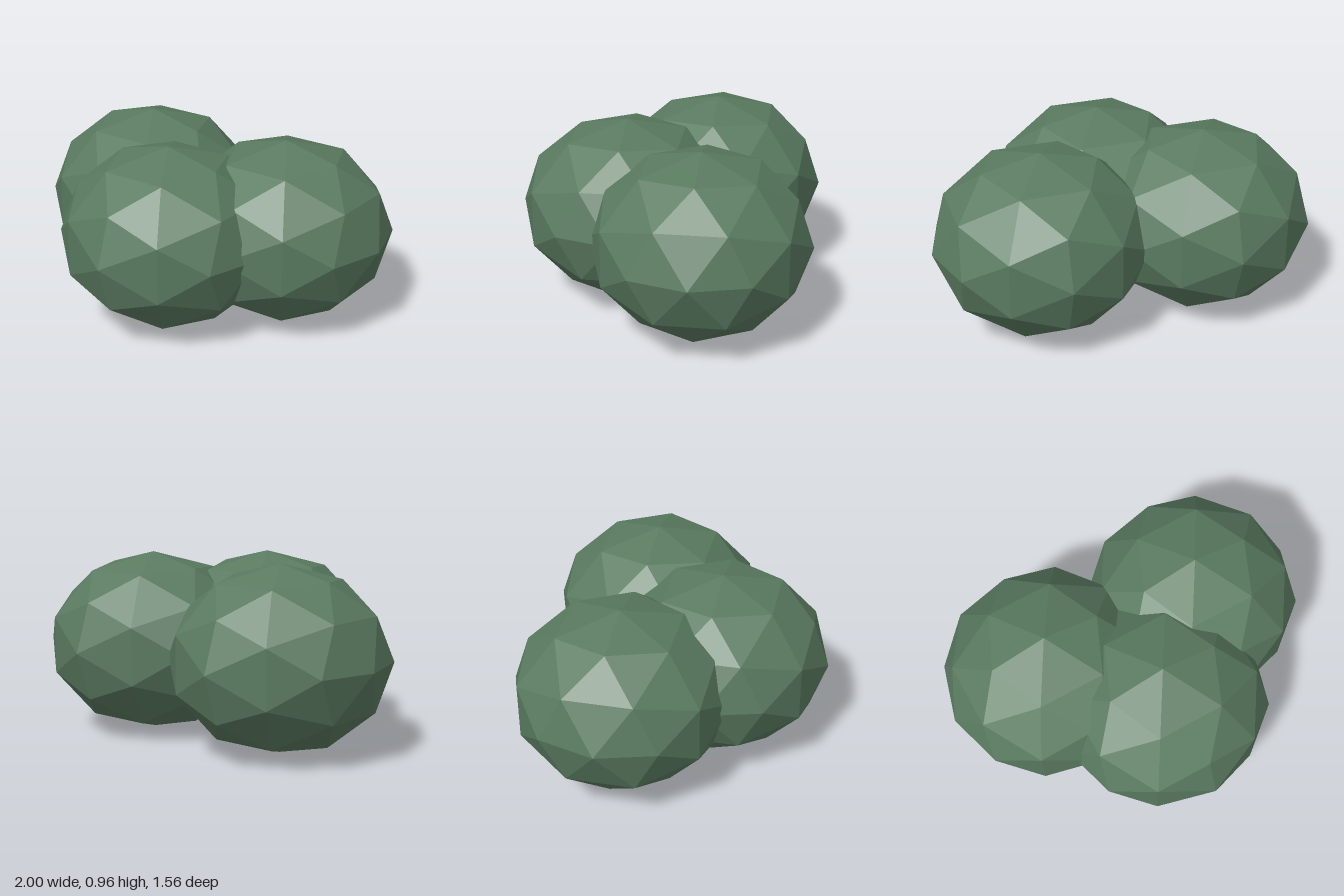
import * as THREE from 'three';

export function createModel() {
  const group = new THREE.Group();
  group.name = 'bush';

  const foliage = new THREE.MeshStandardMaterial({ color: 0x5a7a60, flatShading: true });
  foliage.name = 'foliage green';

  // Faceted ball, slightly flattened, shared by all clumps
  const ball = new THREE.IcosahedronGeometry(0.566, 1);
  ball.scale(1, 0.8445, 1);
  ball.computeVertexNormals();

  // Three overlapping clumps in a triangle
  const clumps = [
    ['frontClump', 0, 0.216],
    ['backLeftClump', 0.434, -0.216],
    ['backRightClump', -0.434, -0.216],
  ];
  for (const [name, x, z] of clumps) {
    const clump = new THREE.Mesh(ball, foliage);
    clump.name = name;
    clump.position.set(x, 0.478, z);
    group.add(clump);
  }
  return group;
}
